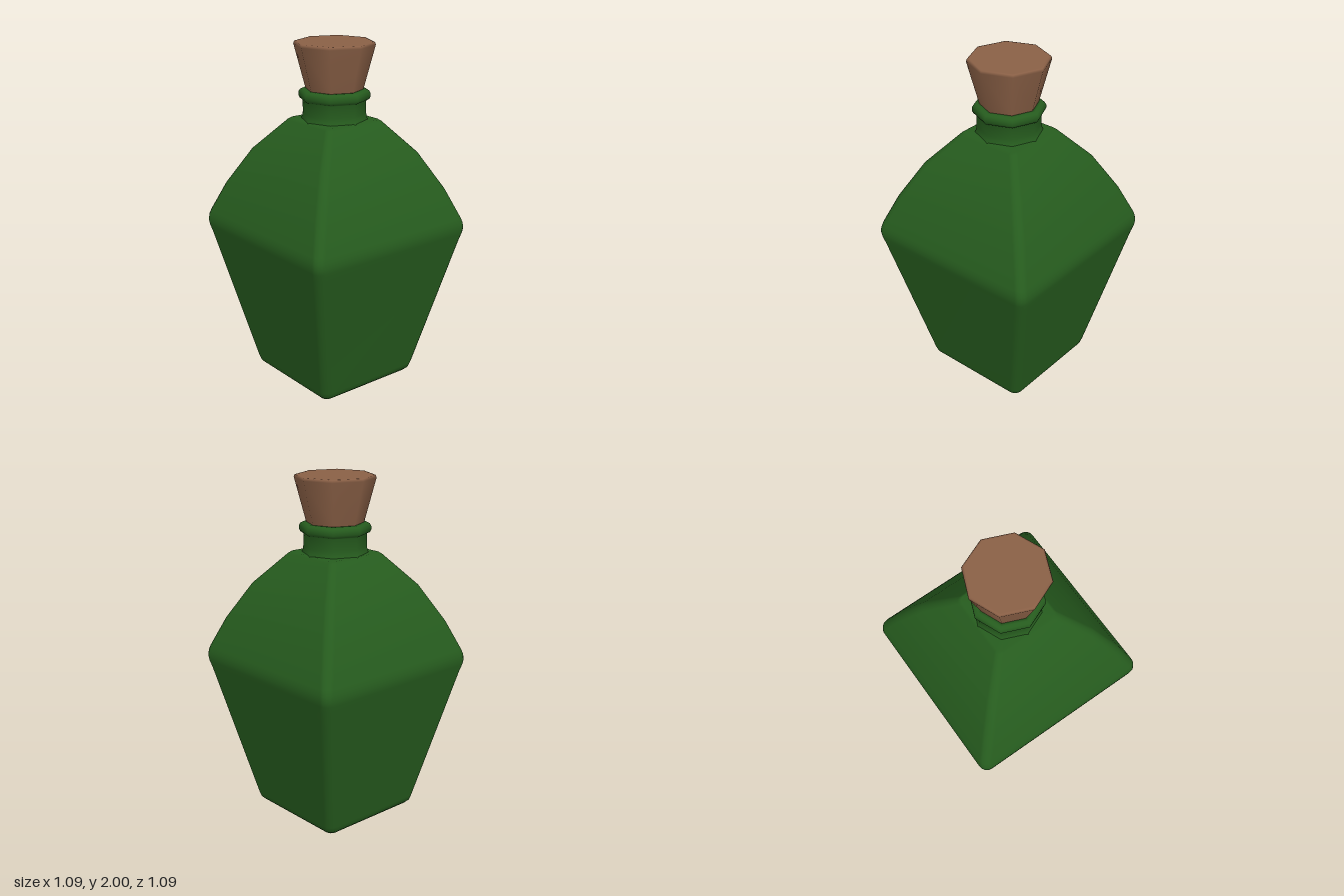
import * as THREE from 'three';

const GLASS = new THREE.MeshStandardMaterial({ color: 0x265c1e });
const CORK = new THREE.MeshStandardMaterial({ color: 0x8a6046 });
const ARC = 4; // segments in each rounded corner

// One square section with rounded corners: half width w, corner radius r
function roundedSquare(w, r, y) {
  const ring = [];
  for (let corner = 0; corner < 4; corner++) {
    const mid = (corner + 0.5) * Math.PI / 2;
    const cx = Math.sign(Math.cos(mid)) * (w - r);
    const cz = Math.sign(Math.sin(mid)) * (w - r);
    for (let i = 0; i <= ARC; i++) {
      const a = (corner + i / ARC) * Math.PI / 2;
      ring.push([cx + r * Math.cos(a), y, cz + r * Math.sin(a)]);
    }
  }
  return ring;
}

// Join stacked sections into a closed, smooth skin
function loft(rings) {
  const n = rings[0].length, positions = rings.flat(2), index = [];
  for (let j = 0; j < rings.length - 1; j++) {
    for (let i = 0; i < n; i++) {
      const a = j * n + i, b = j * n + (i + 1) % n;
      index.push(a, a + n, b, b, a + n, b + n);
    }
  }
  const bottom = positions.length / 3, top = bottom + 1, last = (rings.length - 1) * n;
  positions.push(0, rings[0][0][1], 0, 0, rings[rings.length - 1][0][1], 0);
  for (let i = 0; i < n; i++) {
    const k = (i + 1) % n;
    index.push(bottom, i, k, top, last + k, last + i);
  }
  const geometry = new THREE.BufferGeometry();
  geometry.setAttribute('position', new THREE.Float32BufferAttribute(positions, 3));
  geometry.setIndex(index);
  geometry.computeVertexNormals();
  return geometry;
}

// Eight-sided turned part from [radius, height] points
function turned(points) {
  return new THREE.LatheGeometry(points.map(([r, y]) => new THREE.Vector2(r, y)), 8);
}

export function createModel() {
  const group = new THREE.Group();
  const add = (name, geometry, material) => {
    const mesh = new THREE.Mesh(geometry, material);
    mesh.name = name;
    group.add(mesh);
  };

  // Square body: narrow foot, wide belly, curved shoulders [half width, corner radius, height]
  const sections = [
    [0.29, 0.02, 0], [0.315, 0.035, 0.008], [0.335, 0.045, 0.027], [0.346, 0.05, 0.06],
    [0.53, 0.05, 0.865], [0.541, 0.05, 0.905], [0.545, 0.05, 0.935], [0.542, 0.05, 0.965],
    [0.533, 0.05, 0.995], [0.464, 0.05, 1.165], [0.35, 0.045, 1.375], [0.2, 0.035, 1.552],
    [0.185, 0.03, 1.563],
  ];
  add('body', loft(sections.map(([w, r, y]) => roundedSquare(w, r, y))), GLASS);

  // Neck with a rolled lip and an inner wall
  add('neck', turned([
    [0.195, 1.55], [0.184, 1.575], [0.18, 1.6], [0.18, 1.67], [0.196, 1.678], [0.204, 1.692],
    [0.204, 1.712], [0.196, 1.727], [0.18, 1.735], [0.158, 1.735], [0.15, 1.7], [0.15, 1.6],
  ]), GLASS);

  // Tapered stopper
  add('cork', turned([
    [0, 1.6], [0.127, 1.6], [0.165, 1.74], [0.23, 1.984], [0.225, 1.998], [0.215, 2], [0, 2],
  ]), CORK);

  return group;
}
